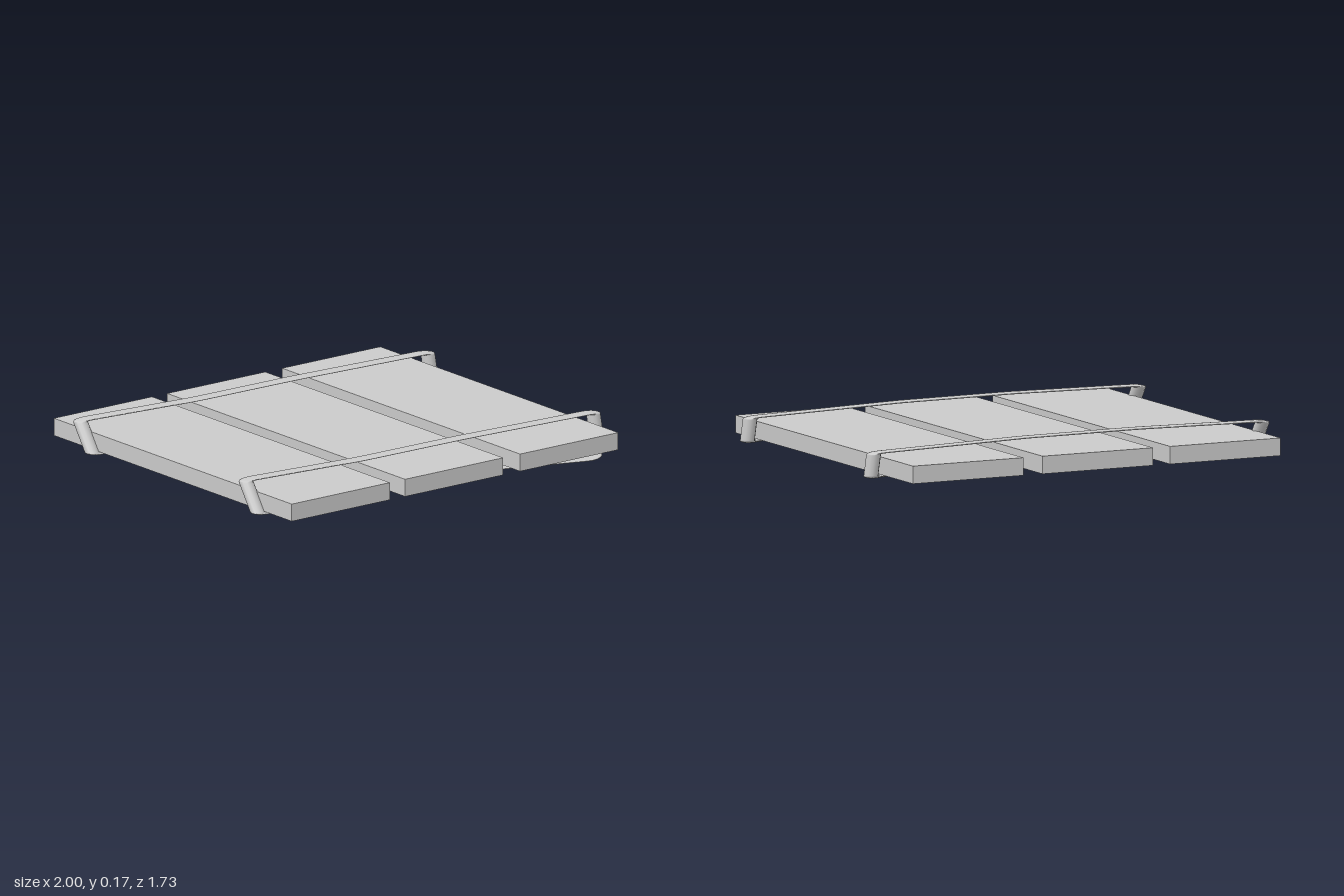
import * as THREE from 'three';

const FLAT = 0.15; // vertical squash that turns the round tube into a flat strap

// Closed path through corner points, with a small rounded bend at each corner
function roundedLoop(points, radius) {
  const path = new THREE.CurvePath();
  const n = points.length;
  const bends = points.map((p, i) => {
    const toward = (q) => {
      const d = q.clone().sub(p);
      return p.clone().addScaledVector(d.normalize(), Math.min(radius, p.distanceTo(q) * 0.4));
    };
    return { start: toward(points[(i + n - 1) % n]), p, end: toward(points[(i + 1) % n]) };
  });
  bends.forEach((b, i) => {
    path.add(new THREE.QuadraticBezierCurve3(b.start, b.p, b.end));
    path.add(new THREE.LineCurve3(b.end, bends[(i + 1) % n].start));
  });
  return path;
}

export function createModel() {
  const model = new THREE.Group();
  model.name = 'strappedPlanks';
  const material = new THREE.MeshStandardMaterial({ color: 0xcccccc });

  // Three boards side by side
  const plankGeometry = new THREE.BoxGeometry(0.555, 0.08, 1.726);
  [-0.667, -0.027, 0.623].forEach((x) => {
    const plank = new THREE.Mesh(plankGeometry, material);
    plank.name = 'plank';
    plank.position.set(x, 0.08, 0);
    model.add(plank);
  });

  // Strap loop: over the top, down the left, back underneath, up the right
  const corners = [
    [-0.967, 0.167, 0.555],
    [-0.36, 0.167, 0.613],
    [0.2, 0.165, 0.615],
    [0.957, 0.148, 0.608],
    [0.966, 0.037, 0.62],
    [0.8, 0.008, 0.82],
    [0.27, 0.02, 0.672],
    [-0.25, 0.024, 0.61],
    [-0.962, 0.028, 0.642],
  ].map(([x, y, z]) => new THREE.Vector3(x, y / FLAT, z));
  const strapGeometry = new THREE.TubeGeometry(roundedLoop(corners, 0.05), 260, 0.033, 12, true);
  strapGeometry.scale(1, FLAT, 1);

  // Same strap near the front and near the back
  [['frontStrap', 0], ['backStrap', -1.2]].forEach(([name, z]) => {
    const strap = new THREE.Mesh(strapGeometry, material);
    strap.name = name;
    strap.position.z = z;
    model.add(strap);
  });

  return model;
}
